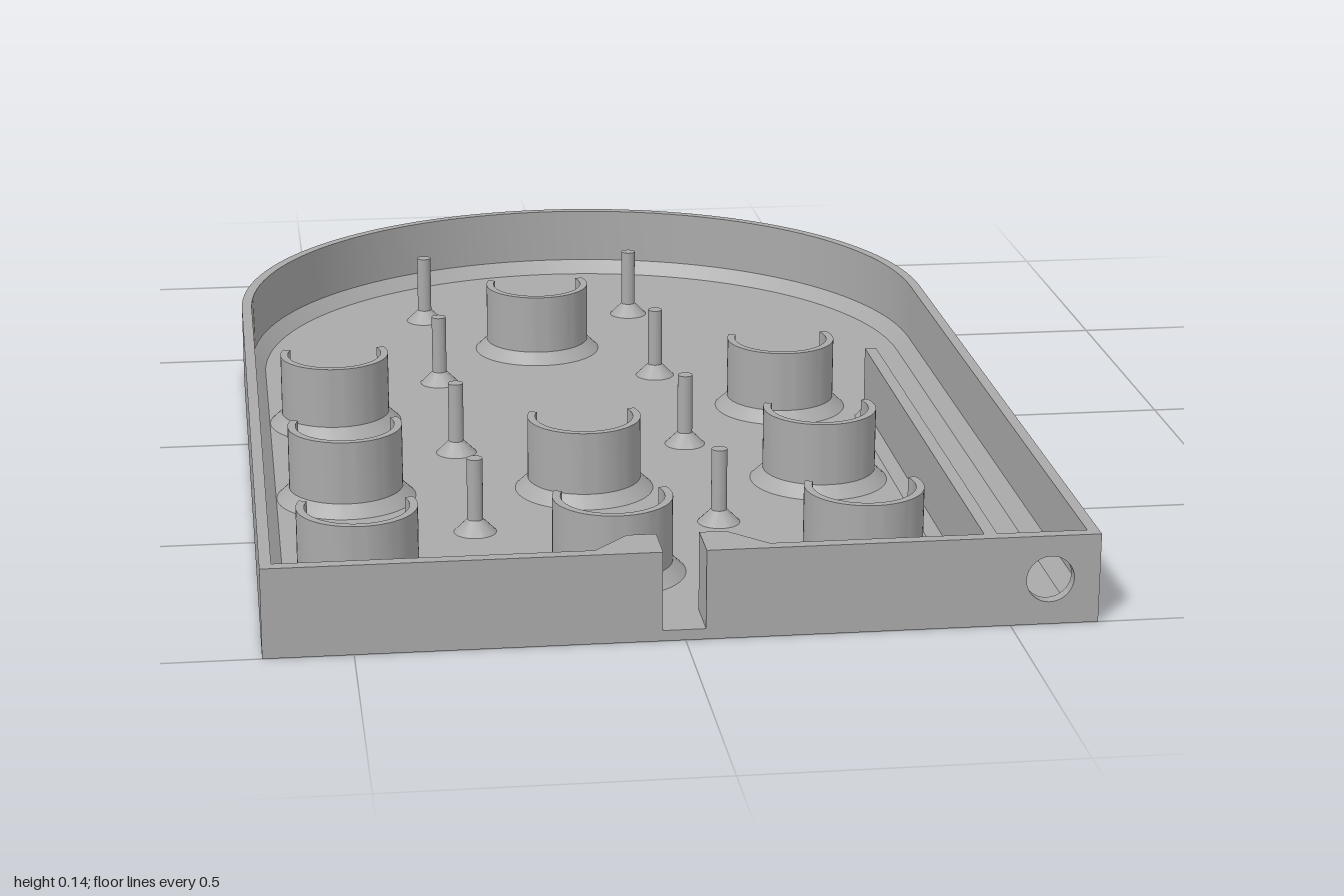
import * as THREE from 'three';
import { toCreasedNormals } from 'three/addons/utils/BufferGeometryUtils.js';

const W = 0.637, H = 0.143, FLOOR = 0.017, WALL = 0.018, FRONT = 0.98;
const ARC_Z = -1 + W; // centre of the rounded back end
const HOLE_R = 0.082;
const SOCKETS = [
  [-0.08, -0.46], [-0.48, -0.06], [0.32, -0.06],
  [-0.48, 0.34], [-0.08, 0.34], [0.32, 0.34],
  [-0.48, 0.74], [-0.08, 0.74], [0.32, 0.74],
];

const polygon = (pts) => new THREE.Shape(pts.map(([x, y]) => new THREE.Vector2(x, y)));
const creased = (geo) => toCreasedNormals(geo, 0.5);

function extrude(shape, depth) {
  return creased(new THREE.ExtrudeGeometry(shape, { depth, bevelEnabled: false, curveSegments: 48 }));
}

// Extrude a plan drawn in (x, -z) upward from y0 to y1
function extrudeUp(shape, y0, y1) {
  return extrude(shape, y1 - y0).rotateX(-Math.PI / 2).translate(0, y0, 0);
}

// Points [x, z] along the U-shaped outline, at a given half width
function outline(r, zEnd) {
  const pts = [[r, zEnd]];
  for (let i = 0; i <= 64; i++) {
    const a = (i / 64) * Math.PI;
    pts.push([r * Math.cos(a), ARC_Z - r * Math.sin(a)]);
  }
  pts.push([-r, zEnd]);
  return pts;
}
const plan = (pts) => polygon(pts.map(([x, z]) => [x, -z]));

// Sloped strip joining the wall to the floor
function filletGeometry() {
  const top = outline(W - WALL, FRONT), low = outline(W - 0.04, FRONT);
  const pos = [], idx = [];
  top.forEach(([x, z], i) => {
    pos.push(x, FLOOR + 0.024, z, low[i][0], FLOOR, low[i][1]);
    if (i > 0) {
      const a = 2 * i - 2;
      idx.push(a, a + 2, a + 1, a + 1, a + 2, a + 3);
    }
  });
  const geo = new THREE.BufferGeometry();
  geo.setAttribute('position', new THREE.Float32BufferAttribute(pos, 3));
  geo.setIndex(idx);
  geo.computeVertexNormals();
  return geo;
}

export function createModel() {
  const model = new THREE.Group();
  model.name = 'tray';
  const grey = new THREE.MeshStandardMaterial({ color: 0xaaaaaa, side: THREE.DoubleSide });
  grey.name = 'grey plastic';
  const add = (name, geo, parent = model) => {
    const mesh = new THREE.Mesh(geo, grey);
    mesh.name = name;
    parent.add(mesh);
    return mesh;
  };

  // Floor with round through-holes
  const floor = plan(outline(W, 1));
  for (const [x, z] of SOCKETS) {
    floor.holes.push(new THREE.Path().absarc(x, -z, HOLE_R, 0, Math.PI * 2, true));
  }
  add('floor', extrudeUp(floor, 0, FLOOR));

  // Side and back wall with its sloped foot
  const wall = plan([...outline(W, FRONT), ...outline(W - WALL, FRONT).reverse()]);
  add('outerWall', extrudeUp(wall, FLOOR, H));
  add('wallFillet', filletGeometry());

  // Front wall in two pieces, with a slot between and a round hole on the left
  const slot = [-0.035, 0.031];
  const rect = (x0, x1) => polygon([[x0, FLOOR], [x1, FLOOR], [x1, H], [x0, H]]);
  add('frontWallRight', extrude(rect(-W, slot[0]), 1 - FRONT).translate(0, 0, FRONT));
  const leftWall = rect(slot[1], W);
  leftWall.holes.push(new THREE.Path().absarc(0.56, 0.073, 0.037, 0, Math.PI * 2, true));
  add('frontWallLeft', extrude(leftWall, 1 - FRONT).translate(0, 0, FRONT));

  // Tapered blocks beside the slot
  const block = (edge, mid, outer) =>
    plan([[edge, FRONT], [edge, 0.92], [mid, 0.92], [outer, FRONT]]);
  add('slotBlockRight', extrudeUp(block(slot[0], -0.08, -0.135), FLOOR, H));
  add('slotBlockLeft', extrudeUp(block(slot[1], 0.072, 0.13), FLOOR, H));

  // Long partition with flared foot
  const partition = polygon([
    [0.443, FLOOR], [0.495, FLOOR], [0.479, FLOOR + 0.018], [0.479, H],
    [0.459, H], [0.459, FLOOR + 0.018],
  ]);
  add('partition', extrude(partition, FRONT - 0.02).translate(0, 0, 0.02));

  // Open collars around the holes, facing the back
  const section = [
    [HOLE_R, FLOOR], [0.116, FLOOR], [0.095, FLOOR + 0.02], [0.095, H], [HOLE_R, H],
  ];
  const profile = [...section, section[0]].map(([x, y]) => new THREE.Vector2(x, y));
  const half = THREE.MathUtils.degToRad(111);
  const collarGeo = creased(new THREE.LatheGeometry(profile, 40, -half, half * 2));
  const capGeo = new THREE.ShapeGeometry(polygon(section));
  for (const [x, z] of SOCKETS) {
    const collar = new THREE.Group();
    collar.name = 'collar';
    collar.position.set(x, 0, z);
    add('collarWall', collarGeo, collar);
    for (const s of [-1, 1]) add('collarEnd', capGeo, collar).rotation.y = s * half - Math.PI / 2;
    model.add(collar);
  }

  // Thin pegs with conical feet
  const pegProfile = [[0.035, FLOOR], [0.013, FLOOR + 0.022], [0.013, H], [0, H]];
  const pegGeo = creased(new THREE.LatheGeometry(
    pegProfile.map(([x, y]) => new THREE.Vector2(x, y)), 24));
  for (const x of [-0.28, 0.12]) {
    for (const z of [-0.665, -0.265, 0.135, 0.535]) add('peg', pegGeo).position.set(x, 0, z);
  }
  return model;
}
